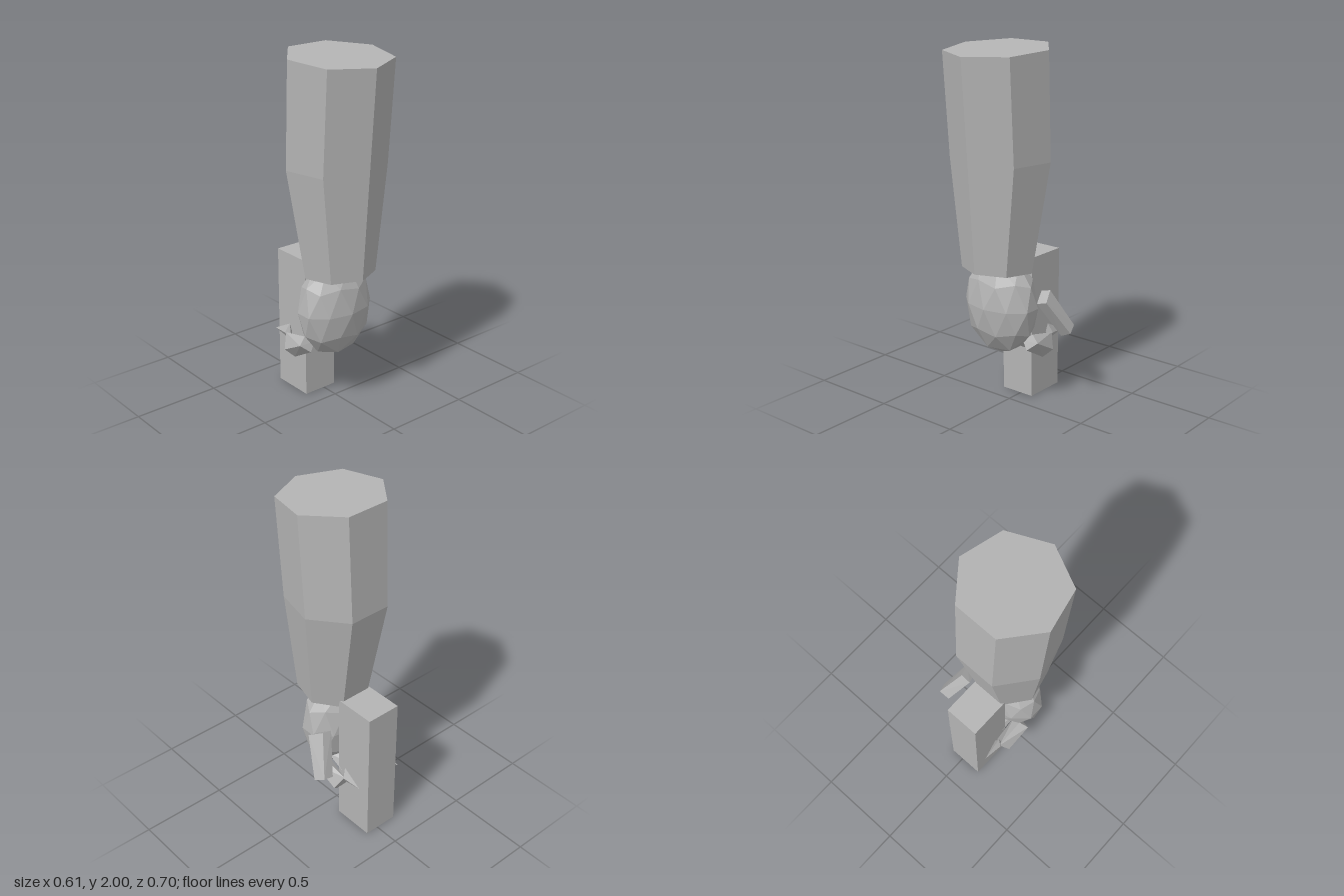
import * as THREE from 'three';
import { ConvexGeometry } from 'three/addons/geometries/ConvexGeometry.js';

const MID = -0.025; // x of the arm's own axis

export function createModel() {
  const group = new THREE.Group();
  const grey = new THREE.MeshStandardMaterial({ color: 0xb4b4b4, flatShading: true });
  grey.name = 'grey';

  const add = (name, geometry) => {
    const mesh = new THREE.Mesh(geometry, grey);
    mesh.name = name;
    group.add(mesh);
    return mesh;
  };
  // Faceted solid around a few corner points
  const solid = (name, corners) =>
    add(name, new ConvexGeometry(corners.map((c) => new THREE.Vector3(...c))));

  // Forearm: seven-sided, three rings that swell and lean forward
  const rings = [
    { y: 0.79, z: 0.06, r: 0.2, tilt: 0.065 },
    { y: 1.4, z: 0.025, r: 0.281, tilt: 0 },
    { y: 1.983, z: 0.061, r: 0.289, tilt: -0.065 },
  ];
  const arm = new THREE.CylinderGeometry(1, 1, 2, 7, 2);
  const p = arm.attributes.position;
  for (let i = 0; i < p.count; i++) {
    const ring = rings[Math.round(p.getY(i)) + 1];
    const z = p.getZ(i) * ring.r;
    p.setXYZ(i, MID + p.getX(i) * ring.r, ring.y + z * ring.tilt, ring.z + z);
  }
  add('forearm', arm);

  // Fist: faceted ball standing on a corner, stretched upright
  const fist = new THREE.IcosahedronGeometry(1, 1);
  fist.rotateZ(-Math.atan(2 / (1 + Math.sqrt(5))));
  fist.scale(0.23, 0.29, 0.155);
  fist.translate(-0.03, 0.58, 0.03);
  add('fist', fist);

  // Held block
  add('heldBlock', new THREE.BoxGeometry(0.205, 0.826, 0.245)).position.set(MID, 0.413, -0.2275);

  // Thumb
  solid('thumb', [
    [0.2, 0.665, -0.11], [0.235, 0.62, -0.03], [0.14, 0.65, -0.11], [0.17, 0.6, -0.03],
    [0.285, 0.45, -0.22], [0.305, 0.42, -0.16], [0.22, 0.43, -0.215], [0.245, 0.395, -0.155],
  ]);

  // Four fingers with diamond sections, each with a pointed tip curling back
  const fingers = [[-0.15, 0], [-0.05, 0.022], [0.05, 0.022], [0.15, 0]];
  fingers.forEach(([offset, lift], i) => {
    const side = Math.sign(offset);
    const place = ([x, y, z]) => [MID + offset + side * x, y + lift, z];
    solid('finger' + (i + 1), [
      [0, 0.325, 0], [0.06, 0.375, -0.02], [0.01, 0.41, -0.04], [-0.045, 0.37, -0.02],
      [0, 0.24, -0.145], [0.05, 0.29, -0.175], [0.008, 0.37, -0.215], [-0.045, 0.28, -0.175],
    ].map(place));
    solid('fingertip' + (i + 1), [
      [0.016, 0.37, -0.215], [-0.03, 0.37, -0.21], [-0.008, 0.425, -0.2],
      [-0.004, 0.33, -0.18], [-0.002, 0.355, -0.325],
    ].map(place));
  });

  return group;
}
